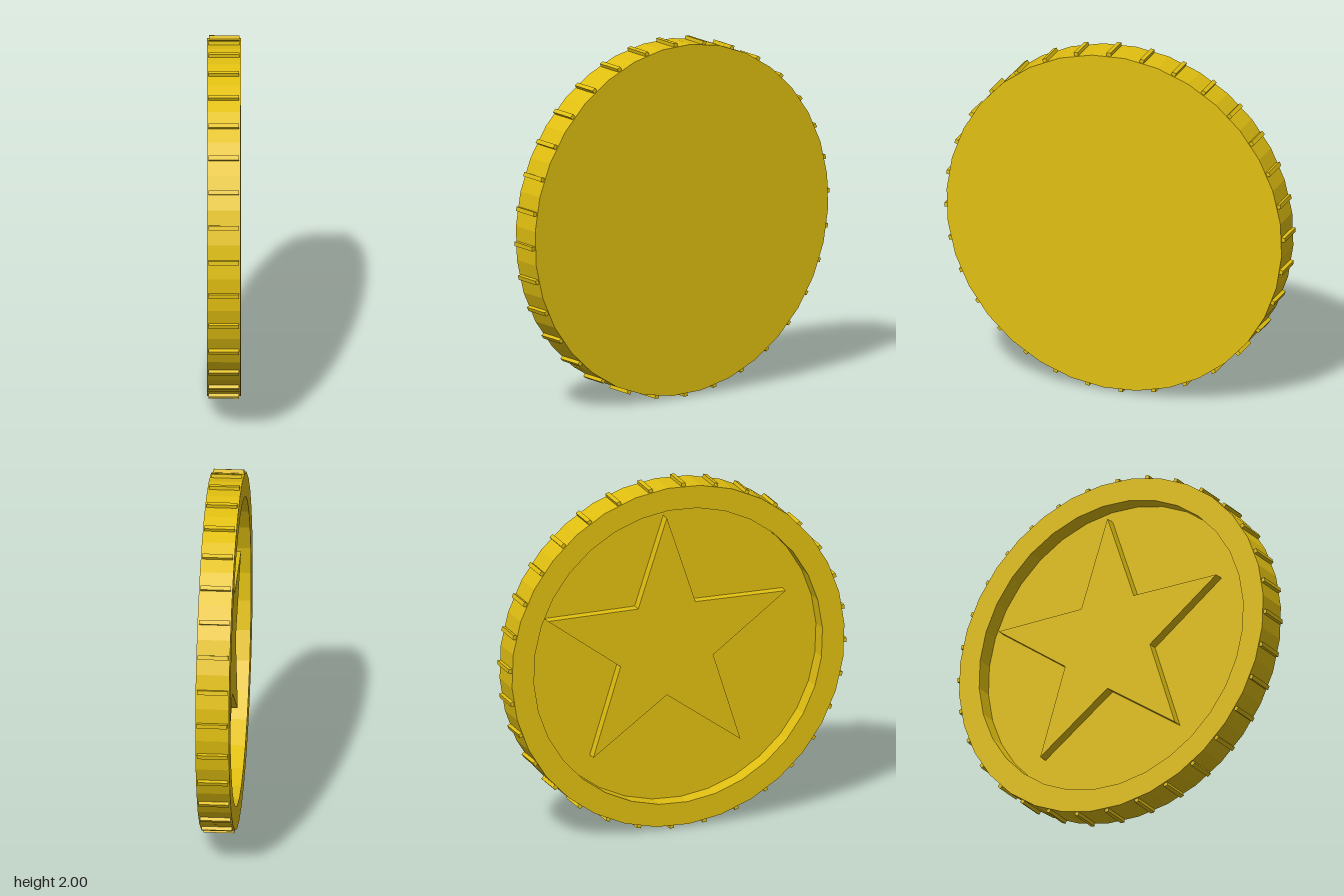
import * as THREE from 'three';

export function createModel() {
  const coin = new THREE.Group();
  coin.name = 'coin';
  coin.position.y = 1;
  const gold = new THREE.MeshStandardMaterial({ color: 0xe2c010, flatShading: true });

  const SIDES = 32;
  const TILT = THREE.MathUtils.degToRad(-2); // slight roll of the disc
  const STEP = (Math.PI * 2) / SIDES;
  const HALF = 0.0925, RADIUS = 0.985, INNER = 0.855, FLOOR = 0.005;

  function add(name, geometry, parent = coin) {
    const mesh = new THREE.Mesh(geometry, gold);
    mesh.name = name;
    parent.add(mesh);
    return mesh;
  }

  // Disc with a flat face on +x and a recess with a raised rim on -x
  const profile = [
    [0, FLOOR], [INNER, FLOOR], [INNER, -HALF],
    [RADIUS, -HALF], [RADIUS, HALF], [0, HALF],
  ].map(([r, h]) => new THREE.Vector2(r, h));
  const disc = add('disc', new THREE.LatheGeometry(profile, SIDES, -TILT - STEP / 2, Math.PI * 2));
  disc.rotation.z = -Math.PI / 2;

  // Ridges, one in the middle of every edge facet
  const ridges = new THREE.Group();
  ridges.name = 'edgeRidges';
  coin.add(ridges);
  const ridgeGeometry = new THREE.BoxGeometry(0.168, 0.024, 0.03);
  for (let i = 0; i < SIDES; i++) {
    const a = TILT + i * STEP;
    const ridge = add('ridge', ridgeGeometry, ridges);
    ridge.position.set(0, Math.sin(a) * 0.985, Math.cos(a) * 0.985);
    ridge.rotation.x = -a;
  }

  // Five-pointed star standing on the recess floor
  const points = Array.from({ length: 10 }, (_, i) => {
    const r = i % 2 ? 0.288 : 0.74;
    const a = Math.PI / 2 + (i * Math.PI) / 5;
    return new THREE.Vector2(Math.cos(a) * r, Math.sin(a) * r);
  });
  const star = add('star', new THREE.ExtrudeGeometry(new THREE.Shape(points), {
    depth: 0.07, bevelEnabled: false,
  }));
  star.rotation.y = -Math.PI / 2;
  star.position.set(0.02, 0.055, -0.05);

  return coin;
}
